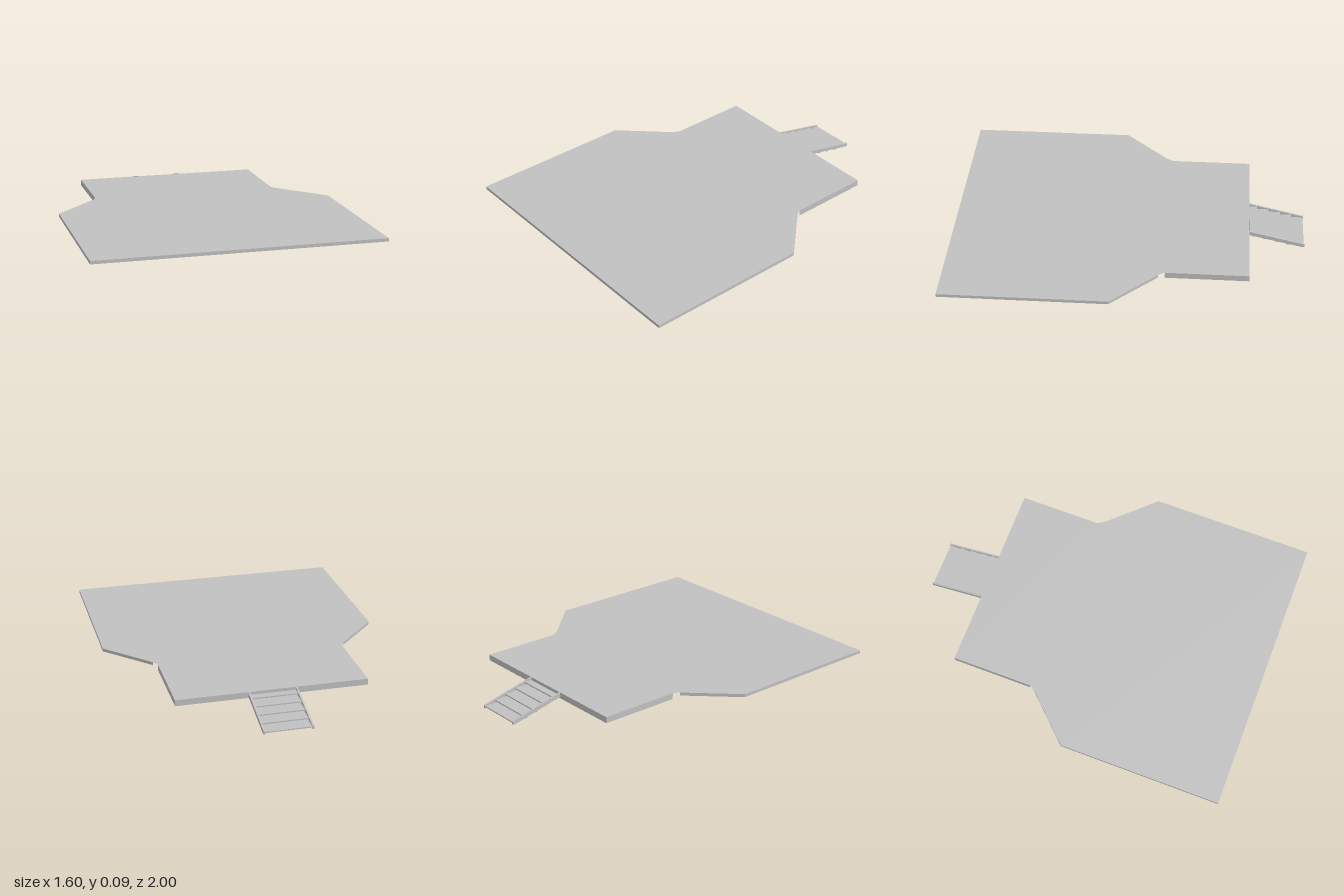
import * as THREE from 'three';

export function createModel() {
  const group = new THREE.Group();
  const grey = new THREE.MeshStandardMaterial({ color: 0xc0c0c0, side: THREE.DoubleSide });
  grey.name = 'deckGrey';
  const add = (name, geometry) => {
    const mesh = new THREE.Mesh(geometry, grey);
    mesh.name = name;
    group.add(mesh);
    return mesh;
  };

  const top = 0.095, frontDrop = 0.018, backDrop = 0.035;

  // Half outline of the deck as [x, z], from the front edge to the back
  const half = [[0.8, 1], [0.8, 0.07], [0.557, -0.185], [0.537, -0.22], [0.537, -0.683]];
  const outline = [...half, ...half.slice().reverse().map(([x, z]) => [-x, z])];

  // Deck surface, a thin sheet
  const shape = new THREE.Shape(outline.map(([x, z]) => new THREE.Vector2(x, -z)));
  add('deckSurface', new THREE.ShapeGeometry(shape).rotateX(-Math.PI / 2)).position.y = top;

  // Fascia: a thin upright strip hanging from the deck edge between two points
  const fascia = (name, a, b, drop) => {
    const dx = b[0] - a[0], dz = b[1] - a[1];
    const strip = add(name, new THREE.PlaneGeometry(Math.hypot(dx, dz), drop));
    strip.position.set((a[0] + b[0]) / 2, top - drop / 2, (a[1] + b[1]) / 2);
    strip.rotation.y = Math.atan2(-dz, dx);
  };
  const mirror = ([x, z]) => [-x, z];
  fascia('frontFascia', mirror(half[0]), half[0], frontDrop);
  fascia('backFascia', half[4], mirror(half[4]), backDrop);
  // The short corner between diagonal and rear side stays open
  for (const [name, i, drop] of [['sideFascia', 0, frontDrop], ['diagonalFascia', 1, frontDrop], ['rearSideFascia', 3, backDrop]]) {
    fascia(name + 'Left', half[i + 1], half[i], drop);
    fascia(name + 'Right', mirror(half[i]), mirror(half[i + 1]), drop);
  }

  // Sloping stair stringers, profile drawn along the run
  const profile = new THREE.Shape([[0.683, 0.07], [0.985, 0], [1, 0], [1, 0.018], [0.683, 0.094]]
    .map(([s, y]) => new THREE.Vector2(s, y)));
  for (const side of [1, -1]) {
    const geometry = new THREE.ExtrudeGeometry(profile, { depth: 0.01, bevelEnabled: false });
    geometry.translate(0, 0, -0.005).rotateY(Math.PI / 2);
    add(side > 0 ? 'stringerLeft' : 'stringerRight', geometry).position.x = side * 0.132;
  }

  // Overlapping treads stepping down to the ground
  for (let i = 0; i < 5; i++) {
    const outer = -0.728 - 0.067 * i;
    const inner = Math.min(-0.685, outer + 0.097);
    const tread = add('tread' + (i + 1), new THREE.BoxGeometry(0.254, 0.007, inner - outer));
    tread.position.set(0, 0.075 - 0.0163 * i, (inner + outer) / 2);
  }
  return group;
}
